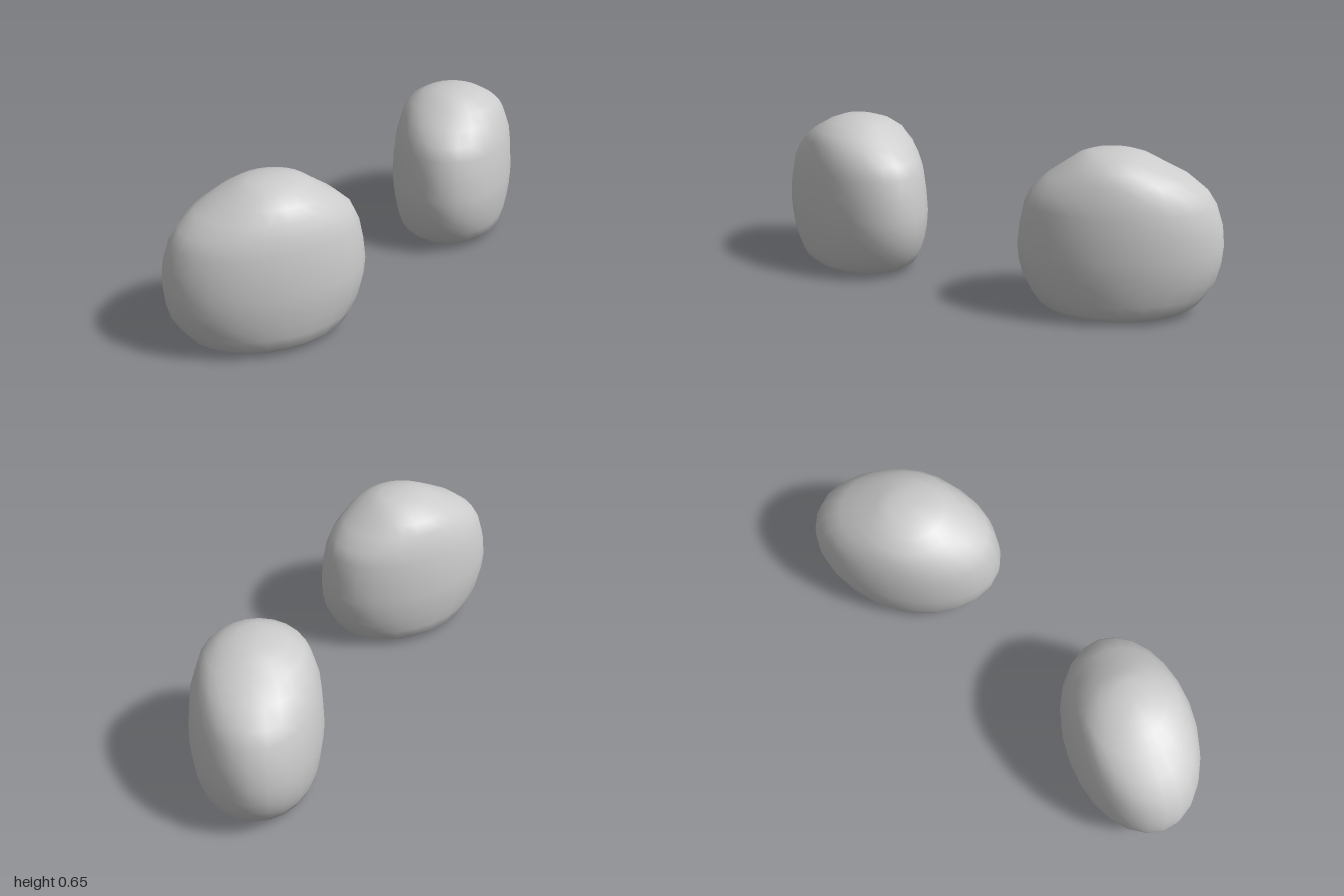
import * as THREE from 'three';
import { mergeVertices } from 'three/addons/utils/BufferGeometryUtils.js';

const SIDES = 24;
const LENGTH = 0.403; // half length of the widest ring
const WIDTH = 0.259;  // half width of the widest ring
const TURN = THREE.MathUtils.degToRad(27.7);

// Rings from top to sole: [height, length scale, width scale, shift toward the toe]
const RINGS = [
  [0.652, 0, 0, 0.035],
  [0.645, 0.22, 0.27, 0.035],
  [0.626, 0.35, 0.5, 0.032],
  [0.59, 0.495, 0.71, 0.024],
  [0.545, 0.69, 0.825, 0.014],
  [0.49, 0.85, 0.89, 0.01],
  [0.435, 0.925, 0.95, 0.005],
  [0.35, 0.98, 0.985, 0],
  [0.265, 1, 1, 0],
  [0.2, 0.985, 0.985, 0],
  [0.14, 0.945, 0.955, 0],
  [0.085, 0.87, 0.915, 0.002],
  [0.038, 0.78, 0.86, 0.004],
  [0.01, 0.66, 0.74, 0.006],
  [0, 0.45, 0.48, 0.006],
  [0.006, 0, 0, 0.006],
];

// A sphere whose rows are moved onto the rings; local +x points to the toe
function footGeometry() {
  const geometry = new THREE.SphereGeometry(1, SIDES, RINGS.length - 1);
  const position = geometry.attributes.position;
  for (let i = 0; i < position.count; i++) {
    const [y, length, width, shift] = RINGS[Math.floor(i / (SIDES + 1))];
    const angle = ((i % (SIDES + 1)) % SIDES) / SIDES * Math.PI * 2;
    position.setXYZ(
      i,
      shift - LENGTH * length * Math.cos(angle),
      y,
      WIDTH * width * Math.sin(angle)
    );
  }
  // Weld the seam so the shading is smooth all around
  geometry.deleteAttribute('uv');
  geometry.deleteAttribute('normal');
  const welded = mergeVertices(geometry, 1e-4);
  welded.computeVertexNormals();
  return welded;
}

export function createModel() {
  const group = new THREE.Group();
  group.name = 'feet';
  const geometry = footGeometry();
  const material = new THREE.MeshStandardMaterial({ color: 0xcccccc });

  // Both toes point forward and inward
  for (const [name, x, turn] of [
    ['leftFoot', 0.625, Math.PI + TURN],
    ['rightFoot', -0.625, -TURN],
  ]) {
    const foot = new THREE.Mesh(geometry, material);
    foot.name = name;
    foot.position.x = x;
    foot.rotation.y = turn;
    group.add(foot);
  }
  return group;
}
